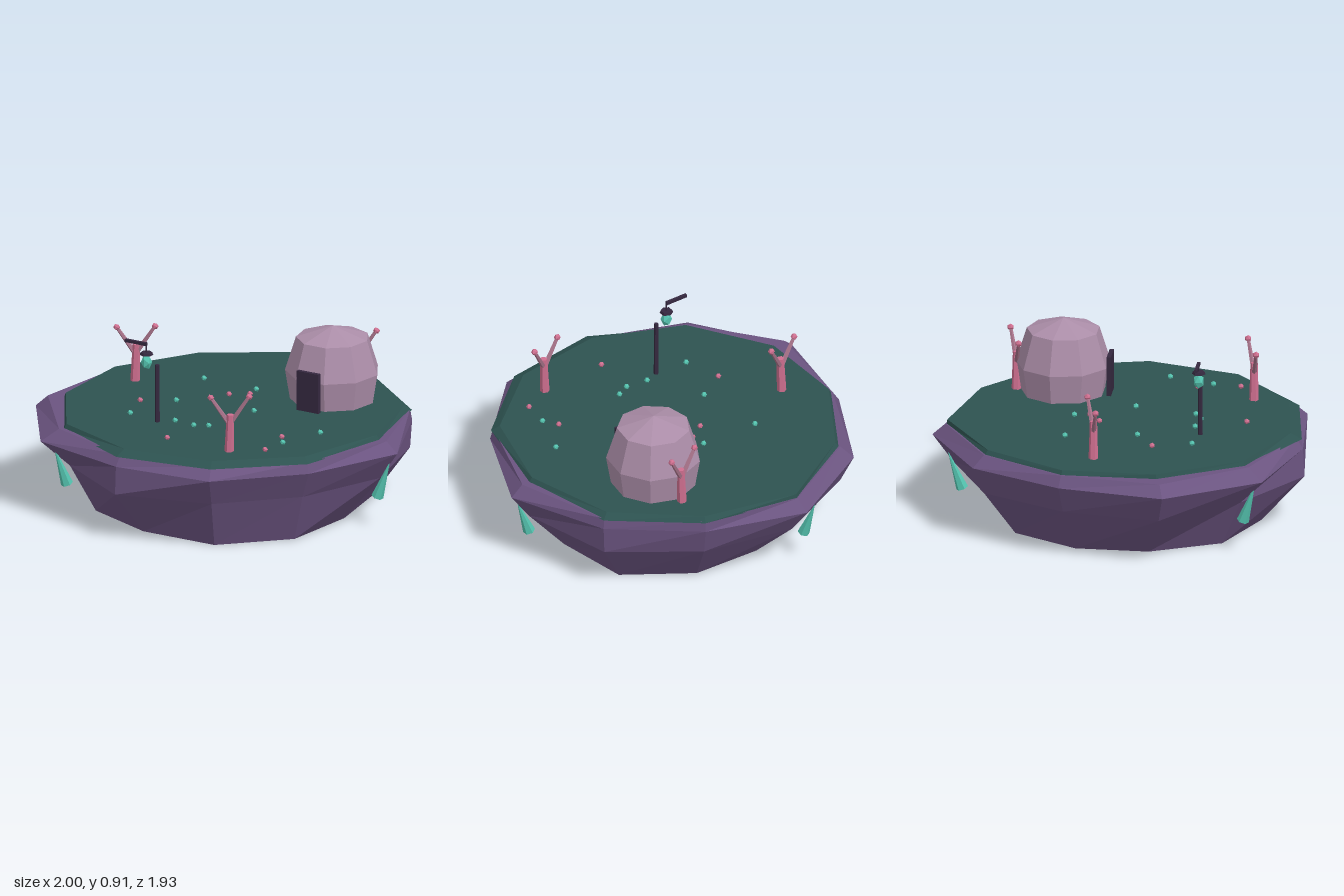
import * as THREE from 'three';

const mat = (name, color, side = THREE.FrontSide) => {
  const m = new THREE.MeshStandardMaterial({ color, flatShading: true, side });
  m.name = name;
  return m;
};

// Irregular eleven-sided rim of the island: x, z
const RIM = [
  [-0.155, -0.965], [0.37, -0.8], [0.78, -0.47], [0.995, 0.04], [0.765, 0.545], [0.39, 0.915],
  [-0.145, 0.957], [-0.685, 0.81], [-1.0, 0.33], [-0.9, -0.22], [-0.65, -0.695],
];

// One ring at height y with its own radius toward each rim corner
const ring = (y, radii) => RIM.map(([x, z], i) => {
  const s = radii[i] / Math.hypot(x, z);
  return new THREE.Vector3(x * s, y, z * s);
});

// Skin rings from bottom to top and close the top; the bottom stays open
function loft(rings) {
  const pts = [];
  const n = RIM.length;
  for (let k = 0; k < rings.length - 1; k++) {
    for (let i = 0; i < n; i++) {
      const j = (i + 1) % n;
      const [a, b, c, d] = [rings[k][i], rings[k][j], rings[k + 1][j], rings[k + 1][i]];
      pts.push(b, a, d, b, d, c);
    }
  }
  const top = rings[rings.length - 1];
  const centre = new THREE.Vector3(0, top[0].y, 0);
  for (let i = 0; i < n; i++) pts.push(centre, top[(i + 1) % n], top[i]);
  const g = new THREE.BufferGeometry().setFromPoints(pts);
  g.computeVertexNormals();
  return g;
}

export function createModel() {
  const model = new THREE.Group();
  model.name = 'floatingIsland';

  const rock = mat('purple rock', 0x6b5480, THREE.DoubleSide);
  const moss = mat('dark green moss', 0x2d5250);
  const shell = mat('pale mauve', 0xab8da8, THREE.DoubleSide);
  const dark = mat('dark plum', 0x35283f);
  const teal = mat('teal crystal', 0x55c4b0);
  const pink = mat('pink', 0xcf6f90);
  const twig = mat('dusty pink', 0xa8738a);

  const add = (parent, name, geometry, material, x = 0, y = 0, z = 0) => {
    const m = new THREE.Mesh(geometry, material);
    m.name = name;
    m.position.set(x, y, z);
    parent.add(m);
    return m;
  };

  // Tapered rod from a to b
  const rod = (parent, name, a, b, ra, rb, sides, material) => {
    const from = new THREE.Vector3(...a);
    const dir = new THREE.Vector3(...b).sub(from);
    const m = add(parent, name, new THREE.CylinderGeometry(rb, ra, dir.length(), sides), material);
    m.position.copy(from).addScaledVector(dir, 0.5);
    m.quaternion.setFromUnitVectors(new THREE.Vector3(0, 1, 0), dir.normalize());
    return m;
  };

  // Island rock, hollow and open below
  const rimRadii = RIM.map(([x, z]) => Math.hypot(x, z));
  add(model, 'islandRock', loft([
    ring(0, [0.61, 0.65, 0.71, 0.67, 0.76, 0.8, 0.745, 0.76, 0.7, 0.68, 0.68]),
    ring(0.26, [0.87, 0.84, 0.9, 0.89, 0.86, 0.91, 0.975, 0.9, 0.965, 0.86, 0.88]),
    ring(0.41, rimRadii),
    ring(0.468, [0.91, 0.875, 0.9, 0.93, 0.92, 0.93, 0.93, 0.96, 0.99, 0.89, 0.88]),
  ]), rock);

  // Moss layer on top
  add(model, 'mossTop', loft([
    ring(0.462, [0.905, 0.88, 0.91, 0.89, 0.935, 0.95, 0.962, 0.935, 0.905, 0.885, 0.875]),
    ring(0.49, [0.9, 0.855, 0.87, 0.87, 0.89, 0.895, 0.9, 0.92, 0.895, 0.87, 0.855]),
  ]), moss);

  // Domed hut, nine sided, with a door plate
  const profile = [[0.22, 0.485], [0.246, 0.645], [0.19, 0.825], [0.0001, 0.887]];
  const hut = new THREE.Group();
  hut.name = 'hut';
  model.add(hut);
  hut.position.set(0.375, 0, -0.35);
  add(hut, 'dome', new THREE.LatheGeometry(
    profile.map(([r, y]) => new THREE.Vector2(r, y)), 9, Math.PI).toNonIndexed(), shell);
  add(hut, 'door', new THREE.BoxGeometry(0.13, 0.215, 0.022), dark, 0, 0.595, 0.243);

  // Three forked trees with round buds
  for (const [x, z] of [[-0.64, -0.07], [0.35, 0.642], [0.375, -0.594]]) {
    const tree = new THREE.Group();
    tree.name = 'forkedTree';
    tree.position.set(x, 0, z);
    model.add(tree);
    rod(tree, 'trunk', [-0.004, 0.48, 0], [0.004, 0.69, 0], 0.025, 0.019, 6, pink);
    for (const tip of [[-0.1, 0.77, 0.023], [0.092, 0.79, -0.042]]) {
      rod(tree, 'branch', [0, 0.635, 0], tip, 0.014, 0.009, 5, twig);
      add(tree, 'bud', new THREE.IcosahedronGeometry(0.018, 0), pink, ...tip);
    }
  }

  // Lamp post, bracket and hanging lantern
  const lamp = new THREE.Group();
  lamp.name = 'lamp';
  lamp.position.z = 0.432;
  model.add(lamp);
  add(lamp, 'post', new THREE.CylinderGeometry(0.011, 0.013, 0.36, 6), dark, -0.21, 0.62, 0);
  add(lamp, 'arm', new THREE.BoxGeometry(0.127, 0.016, 0.016), dark, -0.338, 0.9, 0);
  add(lamp, 'hanger', new THREE.CylinderGeometry(0.004, 0.004, 0.055, 5), dark, -0.275, 0.875, 0);
  add(lamp, 'cap', new THREE.CylinderGeometry(0.03, 0.035, 0.014, 6), dark, -0.275, 0.85, 0);
  const lantern = add(lamp, 'lantern', new THREE.IcosahedronGeometry(0.03, 0), teal, -0.275, 0.803, 0);
  lantern.scale.y = 1.35;

  // Crystals hanging below the rim: wide end, then tip
  for (const [base, tip] of [
    [[-0.592, 0.165, 0.7], [-0.628, 0.37, 0.765]],
    [[0.88, 0.16, 0.046], [0.953, 0.36, 0.046]],
    [[-0.255, 0.16, -0.798], [-0.275, 0.36, -0.868]],
  ]) rod(model, 'hangingCrystal', base, tip, 0.032, 0.001, 6, teal);

  // Small plants scattered over the moss: x, z
  const scatter = (name, material, spots) => {
    for (const [x, z] of spots) {
      add(model, name, new THREE.IcosahedronGeometry(0.015, 0), material, x, 0.502, z);
    }
  };
  scatter('tealSprout', teal, [
    [-0.34, -0.255], [-0.02, -0.245], [0.145, 0.055], [-0.285, 0.115], [0.615, 0.175],
    [0.065, 0.375], [-0.125, 0.395], [-0.005, 0.41], [0.53, 0.41], [-0.385, 0.41],
  ]);
  scatter('pinkSprout', pink, [
    [-0.1, -0.105], [-0.01, -0.165], [-0.445, 0.21], [0.48, 0.335], [0.51, 0.555], [-0.02, 0.65],
  ]);

  return model;
}
